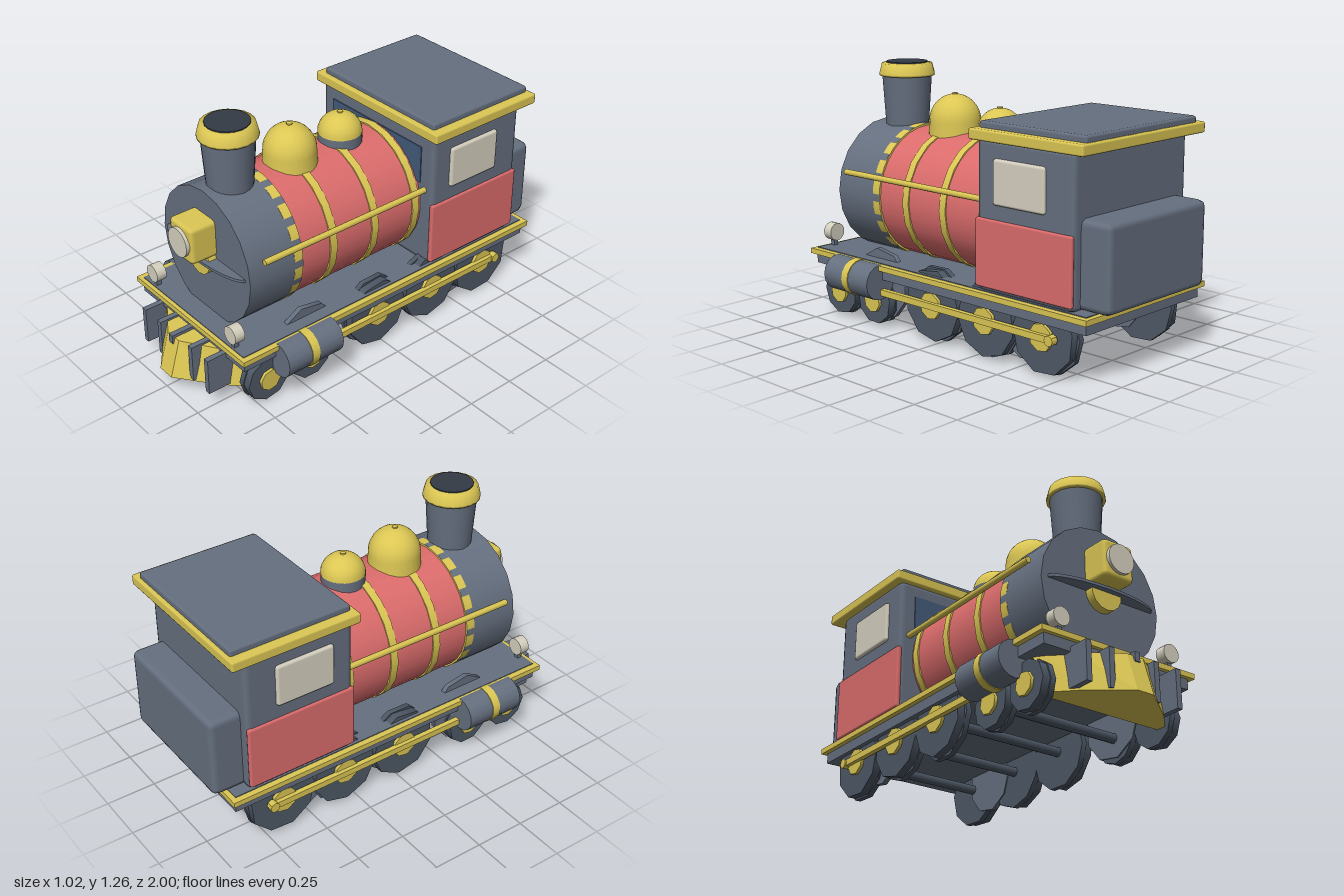
import * as THREE from 'three';
import { RoundedBoxGeometry } from 'three/addons/geometries/RoundedBoxGeometry.js';

const material = (name, color) => {
  const m = new THREE.MeshStandardMaterial({ color });
  m.name = name;
  return m;
};

export function createModel() {
  const slate = material('slate', 0x667080);
  const iron = material('dark iron', 0x4e5866);
  const soot = material('soot', 0x343b45);
  const gold = material('gold', 0xdcc754);
  const red = material('red', 0xdc6c6c);
  const cream = material('cream', 0xd6d1c0);
  const blue = material('window blue', 0x435a7a);
  const model = new THREE.Group();
  model.name = 'steamLocomotive';

  function add(name, geometry, mat, x = 0, y = 0, z = 0) {
    const mesh = new THREE.Mesh(geometry, mat);
    mesh.name = name;
    mesh.position.set(x, y, z);
    model.add(mesh);
    return mesh;
  }
  // Box given by its limits, with an optional chamfer
  function box(name, mat, x0, x1, y0, y1, z0, z1, bevel = 0) {
    const w = x1 - x0, h = y1 - y0, d = z1 - z0;
    const g = bevel ? new RoundedBoxGeometry(w, h, d, 1, bevel) : new THREE.BoxGeometry(w, h, d);
    return add(name, g, mat, (x0 + x1) / 2, (y0 + y1) / 2, (z0 + z1) / 2);
  }
  // Cylinder lying along z between two z limits
  function alongZ(name, mat, r, x, y, z0, z1, sides) {
    const g = new THREE.CylinderGeometry(r, r, z1 - z0, sides).rotateX(Math.PI / 2);
    return add(name, g, mat, x, y, (z0 + z1) / 2);
  }
  // Cylinder lying along x between two x limits
  function alongX(name, mat, r, x0, x1, y, z, sides, turn = 0) {
    const g = new THREE.CylinderGeometry(r, r, Math.abs(x1 - x0), sides, 1, false, turn).rotateZ(Math.PI / 2);
    return add(name, g, mat, (x0 + x1) / 2, y, z);
  }
  const lathe = (name, mat, points, y, z, sides = 24) =>
    add(name, new THREE.LatheGeometry(points.map(p => new THREE.Vector2(...p)), sides), mat, 0, y, z);

  // Boiler, smokebox and hoops
  const cy = 0.63;
  alongZ('boiler', red, 0.325, 0, cy, -0.29, 0.45, 32);
  alongZ('smokebox', slate, 0.335, 0, cy, 0.445, 0.74, 20);
  for (const z of [0.26, 0.01, -0.245]) alongZ('boilerHoop', gold, 0.333, 0, cy, z - 0.02, z + 0.02, 20);
  alongZ('smokeboxHoop', gold, 0.3335, 0, cy, 0.443, 0.49, 40);

  // Smokebox door shelf, boss and headlamp
  const shelf = add('frontShelf', new THREE.CylinderGeometry(1, 1, 0.014, 24), slate, 0, 0.642, 0.735);
  shelf.scale.set(0.3, 1, 0.075);
  alongZ('doorBoss', gold, 0.085, 0, 0.632, 0.73, 0.782, 14);
  box('headlamp', gold, -0.085, 0.085, 0.662, 0.848, 0.7, 0.872, 0.022);
  alongZ('headlampLens', cream, 0.072, 0, 0.756, 0.86, 0.888, 20);

  // Chimney
  add('chimney', new THREE.CylinderGeometry(0.126, 0.106, 0.3, 20), slate, 0, 1.06, 0.59);
  lathe('chimneyRim', gold, [[0.1, 1.195], [0.14, 1.195], [0.14, 1.205], [0.127, 1.255], [0.1, 1.26]], 0, 0.59, 20);
  add('chimneyMouth', new THREE.CylinderGeometry(0.104, 0.104, 0.05, 20), soot, 0, 1.24, 0.59);

  // Domes
  const dome = (r, h) => {
    const points = [];
    for (let i = 0; i <= 8; i++) {
      const a = (i / 8) * Math.PI / 2;
      points.push([Math.max(r * Math.cos(a), 0.0001), h * Math.sin(a)]);
    }
    return points;
  };
  lathe('mainDome', gold, [[0.132, -0.09], [0.128, -0.04], ...dome(0.127, 0.13)], 1.0, 0.25);
  lathe('smallDome', gold, dome(0.107, 0.1), 0.99, -0.05);
  add('smallDomeBase', new THREE.CylinderGeometry(0.106, 0.106, 0.1, 20), slate, 0, 0.942, -0.05);
  add('mainDomeKnob', new THREE.CylinderGeometry(0.014, 0.014, 0.01, 8), gold, 0, 1.13, 0.25);
  add('smallDomeKnob', new THREE.CylinderGeometry(0.014, 0.014, 0.01, 8), gold, 0, 1.09, -0.05);

  // Cab, roof and rear bunker
  box('cab', slate, -0.4, 0.4, 0.325, 1.03, -0.845, -0.28, 0.03);
  box('frontWindow', blue, -0.32, 0.32, 0.765, 0.955, -0.283, -0.275);
  box('roofEdge', gold, -0.435, 0.435, 1.018, 1.07, -0.918, -0.26, 0.01);
  box('roof', slate, -0.39, 0.39, 1.06, 1.1, -0.9, -0.285, 0.012);
  box('bunker', slate, -0.35, 0.35, 0.33, 0.735, -1, -0.8, 0.032);

  // Running board and frame
  box('runningBoard', gold, -0.43, 0.43, 0.302, 0.328, -0.945, 0.86);
  box('deck', slate, -0.4, 0.4, 0.325, 0.332, -0.92, 0.84);
  box('frame', slate, -0.405, 0.405, 0.252, 0.302, -0.925, 0.84);

  // Wheel positions: z, axle height, radius
  const wheels = [
    [0.69, 0.125, 0.115], [0.44, 0.125, 0.115],
    [0.03, 0.185, 0.176], [-0.315, 0.185, 0.176], [-0.66, 0.185, 0.176],
  ];
  for (const [z, y] of wheels) alongX('axle', iron, 0.025, -0.34, 0.34, y, z, 8);

  for (const s of [-1, 1]) {
    // Cab side panel, window and handrail
    box('sidePanel', red, s * 0.398 - 0.013, s * 0.398 + 0.013, 0.348, 0.668, -0.842, -0.278, 0.011);
    box('sideWindow', cream, s * 0.4 - 0.016, s * 0.4 + 0.016, 0.735, 0.945, -0.69, -0.388, 0.014);
    alongZ('handrail', gold, 0.015, s * 0.348, 0.735, -0.28, 0.67, 8);

    // Marker lamps
    alongZ('markerLamp', cream, 0.045, s * 0.31, 0.402, 0.793, 0.845, 14);
    box('markerLampStand', slate, s * 0.31 - 0.012, s * 0.31 + 0.012, 0.325, 0.37, 0.805, 0.83);

    // Steam cylinder
    alongZ('steamCylinder', slate, 0.088, s * 0.42, 0.242, 0.35, 0.665, 16);
    alongZ('cylinderBand', gold, 0.092, s * 0.42, 0.242, 0.49, 0.532, 16);

    // Wheels, hubs and the inner discs behind them
    wheels.forEach(([z, y, r], i) => {
      alongX('wheel', iron, r, s * 0.345, s * 0.383, y, z, 9, i * 0.2);
      alongX('wheelFlange', iron, r * 1.04, s * 0.318, s * 0.345, y, z, 10, i * 0.3);
      alongX('hub', gold, i < 2 ? 0.055 : 0.066, s * 0.38, s * 0.398, y, z, 8, 0.2);
    });
    for (const z of [0.43, -0.52]) alongX('innerWheel', slate, z > 0 ? 0.178 : 0.16, s * 0.312, s * 0.338, z > 0 ? 0.205 : 0.195, z, 9);

    // Coupling rod
    box('couplingRod', gold, s * 0.405 - 0.013, s * 0.405 + 0.013, 0.175, 0.206, -0.75, 0.37);
    alongX('rodPin', gold, 0.025, s * 0.39, s * 0.425, 0.19, -0.73, 8);

    // Cowcatcher slats
    for (const x of [0.125, 0.25]) box('slat', slate, s * x - 0.014, s * x + 0.014, 0.09, 0.275, 0.76, 0.94);
  }

  // Cowcatcher: a plan outline raised into a wedge, its top pulled back
  const half = [[0.355, 0.72], [0.32, 0.77], [0.23, 0.86], [0.045, 1]];
  const outline = [...half, ...half.map(([x, z]) => [-x, z]).reverse()];
  const plan = new THREE.Shape(outline.map(([x, z]) => new THREE.Vector2(x, -z)));
  const plow = new THREE.ExtrudeGeometry(plan, { depth: 0.185, bevelEnabled: false }).rotateX(-Math.PI / 2);
  const p = plow.attributes.position;
  for (let i = 0; i < p.count; i++) {
    if (p.getY(i) > 0.1) p.setZ(i, p.getZ(i) - 0.055 * (p.getZ(i) - 0.6) / 0.4);
  }
  plow.computeVertexNormals();
  add('cowcatcher', plow, gold, 0, 0.08, 0);
  box('centreSlat', slate, -0.014, 0.014, 0.235, 0.28, 0.8, 0.96);

  return model;
}
